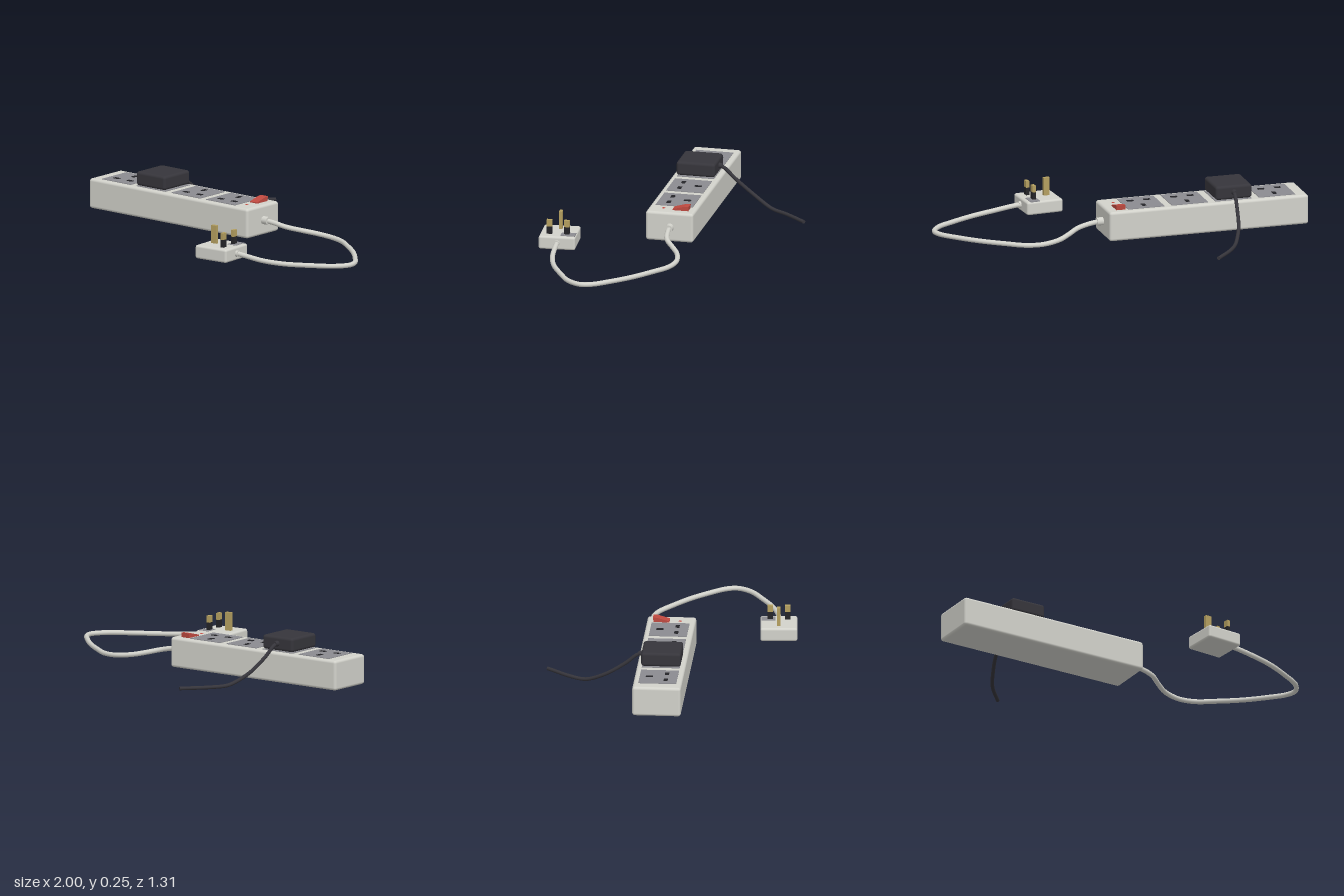
import * as THREE from 'three';
import { RoundedBoxGeometry } from 'three/addons/geometries/RoundedBoxGeometry.js';

const material = (name, color) => {
  const m = new THREE.MeshStandardMaterial({ color });
  m.name = name;
  return m;
};

export function createModel() {
  const model = new THREE.Group();
  model.name = 'extensionLead';

  const white = material('warm white plastic', 0xd2d2cb);
  const grey = material('grey socket plastic', 0x8b8b90);
  const black = material('black plastic', 0x36353b);
  const slotBlack = material('slot black', 0x242428);
  const red = material('red plastic', 0xc04a40);
  const brass = material('brass', 0xb5a060);

  const add = (parent, name, geometry, mat, x, y, z) => {
    const mesh = new THREE.Mesh(geometry, mat);
    mesh.name = name;
    mesh.position.set(x, y, z);
    parent.add(mesh);
    return mesh;
  };
  const box = (parent, name, mat, w, h, d, x, y, z) =>
    add(parent, name, new THREE.BoxGeometry(w, h, d), mat, x, y, z);
  const rounded = (parent, name, mat, w, h, d, r, x, y, z) =>
    add(parent, name, new RoundedBoxGeometry(w, h, d, 3, r), mat, x, y, z);

  // Cable swept along a smooth curve, with closed ends
  const cable = (name, mat, points, radius) => {
    const curve = new THREE.CatmullRomCurve3(points.map((p) => new THREE.Vector3(...p)));
    add(model, name, new THREE.TubeGeometry(curve, 120, radius, 12), mat, 0, 0, 0);
    for (const t of [0, 1]) {
      const p = curve.getPoint(t);
      const cap = add(model, name + 'End', new THREE.CircleGeometry(radius, 12), mat, p.x, p.y, p.z);
      const outward = curve.getTangent(t).multiplyScalar(t ? 1 : -1);
      cap.quaternion.setFromUnitVectors(new THREE.Vector3(0, 0, 1), outward);
    }
  };

  // Long body
  const top = 0.164;
  rounded(model, 'body', white, 1.125, top, 0.263, 0.015, -0.4375, top / 2, -0.0125);

  // Four three-slot sockets
  for (let i = 0; i < 4; i++) {
    const socket = new THREE.Group();
    socket.name = 'socket' + (i + 1);
    socket.position.set(-0.83 + i * 0.2465, top, -0.0125);
    box(socket, 'socketPlate', grey, 0.205, 0.004, 0.205, 0, 0.001, 0);
    box(socket, 'earthSlot', slotBlack, 0.022, 0.004, 0.038, 0, 0.003, -0.05);
    for (const side of [-1, 1])
      box(socket, 'pinSlot', slotBlack, 0.036, 0.004, 0.022, side * 0.047, 0.003, 0.042);
    model.add(socket);
  }

  // Tilted rocker switch and indicator lamp
  const profile = new THREE.Shape();
  profile.moveTo(0.02, 0.16);
  profile.lineTo(0.106, 0.16);
  profile.lineTo(0.109, 0.19);
  profile.lineTo(0.085, 0.188);
  profile.lineTo(0.02, 0.17);
  const rocker = add(model, 'rockerSwitch',
    new THREE.ExtrudeGeometry(profile, { depth: 0.05, bevelEnabled: false }), red, 0.076, 0, 0);
  rocker.rotation.y = Math.PI / 2;
  rocker.position.x = 0.026;
  // the profile's first axis runs towards the back
  add(model, 'indicatorLamp', new THREE.SphereGeometry(0.01, 16, 8, 0, Math.PI * 2, 0, Math.PI / 2),
    red, 0.05, top - 0.002, 0.036).scale.y = 0.5;

  // Adapter block with its cord
  rounded(model, 'adapterBlock', black, 0.204, 0.077, 0.214, 0.015, -0.585, 0.208, -0.012);
  for (const [x, z] of [[0, -0.063], [-0.047, 0.03], [0.047, 0.03]])
    box(model, 'adapterPin', black, 0.02, 0.02, 0.02, -0.585 + x, 0.168, z);
  const relief = add(model, 'adapterCordRelief', new THREE.CylinderGeometry(0.012, 0.016, 0.022, 16),
    black, -0.585, 0.209, -0.128);
  relief.rotation.x = -Math.PI / 2;
  cable('adapterCord', black, [
    [-0.585, 0.21, -0.12], [-0.582, 0.198, -0.15], [-0.573, 0.147, -0.21], [-0.548, 0.073, -0.318],
    [-0.505, 0.024, -0.414], [-0.485, 0.015, -0.45], [-0.436, 0.013, -0.527], [-0.33, 0.013, -0.65],
  ], 0.01);

  // Mains cable and its gland
  const gland = add(model, 'cableGland', new THREE.CylinderGeometry(0.022, 0.022, 0.04, 20),
    white, 0.14, 0.082, -0.016);
  gland.rotation.z = Math.PI / 2;
  cable('mainsCable', white, [
    [0.13, 0.082, -0.016], [0.19, 0.077, -0.02], [0.27, 0.062, -0.035], [0.34, 0.045, -0.083],
    [0.404, 0.032, -0.123], [0.5, 0.021, -0.142], [0.59, 0.017, -0.12], [0.687, 0.017, -0.056],
    [0.805, 0.017, 0.035], [0.9, 0.017, 0.13], [0.97, 0.017, 0.215], [0.985, 0.017, 0.275],
    [0.94, 0.017, 0.35], [0.83, 0.017, 0.422], [0.7, 0.018, 0.49], [0.58, 0.024, 0.525],
    [0.48, 0.035, 0.537], [0.4, 0.043, 0.542],
  ], 0.0135);

  // Mains plug lying on its back, pins upward
  const plug = new THREE.Group();
  plug.name = 'mainsPlug';
  plug.position.set(0.31, 0, 0.55);
  plug.rotation.y = 0.075;
  rounded(plug, 'plugBody', white, 0.208, 0.074, 0.2, 0.012, 0, 0.041, 0);
  box(plug, 'fuseCover', grey, 0.056, 0.006, 0.078, 0.056, 0.077, -0.056);
  box(plug, 'earthPin', brass, 0.034, 0.105, 0.018, -0.045, 0.125, 0);
  for (const side of [-1, 1]) {
    box(plug, 'pinSleeve', slotBlack, 0.018, 0.045, 0.03, 0.049, 0.0975, side * 0.047);
    box(plug, 'pinTip', brass, 0.018, 0.037, 0.03, 0.049, 0.1385, side * 0.047);
  }
  const plugGland = add(plug, 'plugGland', new THREE.CylinderGeometry(0.018, 0.018, 0.02, 20),
    white, 0.106, 0.041, 0);
  plugGland.rotation.z = Math.PI / 2;
  model.add(plug);

  return model;
}
